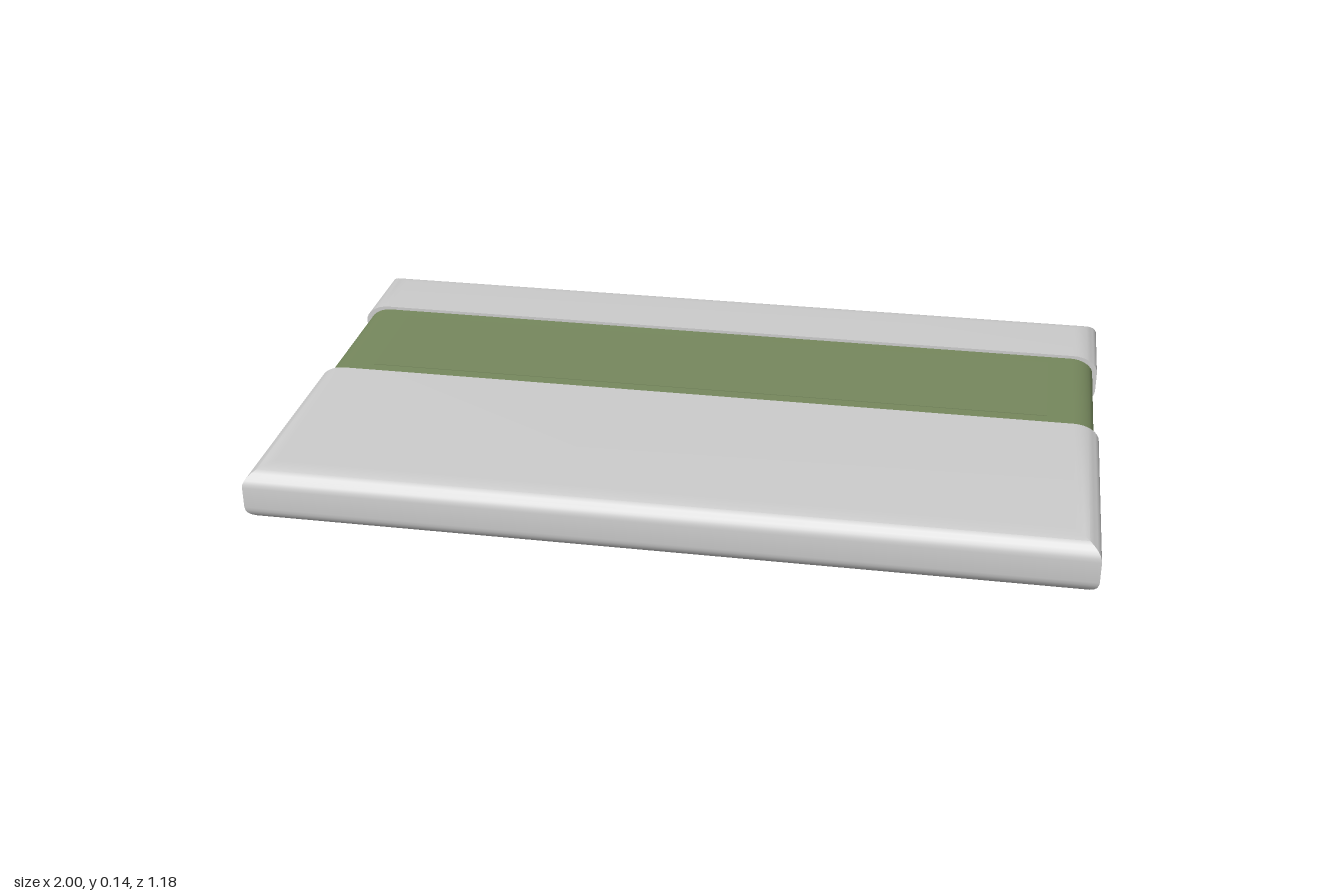
import * as THREE from 'three';
import { toCreasedNormals } from 'three/addons/utils/BufferGeometryUtils.js';

const grey = new THREE.MeshStandardMaterial({ color: 0xcccccc });
const green = new THREE.MeshStandardMaterial({ color: 0x76885d });

// Slab with square plan corners and rounded rims; front/back tell which z ends
// are rounded, the others being cut flat.
function slab({ halfX, z0, z1, y0, y1, rx, ry, front = false, back = false }) {
  const steps = 8;
  const profile = [];
  for (let i = 0; i <= steps; i++) {
    const a = (i / steps) * Math.PI / 2;
    profile.push([rx * (1 - Math.sin(a)), y0 + ry * (1 - Math.cos(a))]);
  }
  for (let i = 0; i <= steps; i++) {
    const a = (i / steps) * Math.PI / 2;
    profile.push([rx * (1 - Math.cos(a)), y1 - ry * (1 - Math.sin(a))]);
  }

  const positions = [];
  const index = [];
  for (const [inset, y] of profile) {
    const x = halfX - inset;
    const zf = front ? z1 - inset : z1;
    const zb = back ? z0 + inset : z0;
    positions.push(-x, y, zf, x, y, zf, x, y, zb, -x, y, zb);
  }
  const last = (profile.length - 1) * 4;
  for (let k = 0; k < last; k += 4) {
    for (let i = 0; i < 4; i++) {
      const a = k + i;
      const b = k + (i + 1) % 4;
      index.push(a, b, b + 4, a, b + 4, a + 4);
    }
  }
  index.push(0, 2, 1, 0, 3, 2); // underside
  index.push(last, last + 1, last + 2, last, last + 2, last + 3); // top

  const geometry = new THREE.BufferGeometry();
  geometry.setAttribute('position', new THREE.Float32BufferAttribute(positions, 3));
  geometry.setIndex(index);
  return toCreasedNormals(geometry, 0.6);
}

export function createModel() {
  const group = new THREE.Group();
  const add = (name, geometry, material) => {
    const mesh = new THREE.Mesh(geometry, material);
    mesh.name = name;
    group.add(mesh);
    return mesh;
  };

  // Wide front and narrow back covers
  const cover = { halfX: 1, y0: 0, y1: 0.142, rx: 0.065, ry: 0.045 };
  add('frontCover', slab({ ...cover, z0: 0.025, z1: 0.59, front: true }), grey);
  add('backCover', slab({ ...cover, z0: -0.59, z1: -0.355, back: true }), grey);

  // Slightly recessed band running between the covers
  add('middleBand', slab({
    halfX: 0.988, z0: -0.375, z1: 0.045, y0: 0.009, y1: 0.134, rx: 0.06, ry: 0.042,
  }), green);

  // Thin panel on top of the band
  const panel = add('topPanel', new THREE.BoxGeometry(1.74, 0.004, 0.3), green);
  panel.position.set(0, 0.1335, -0.17);

  return group;
}
